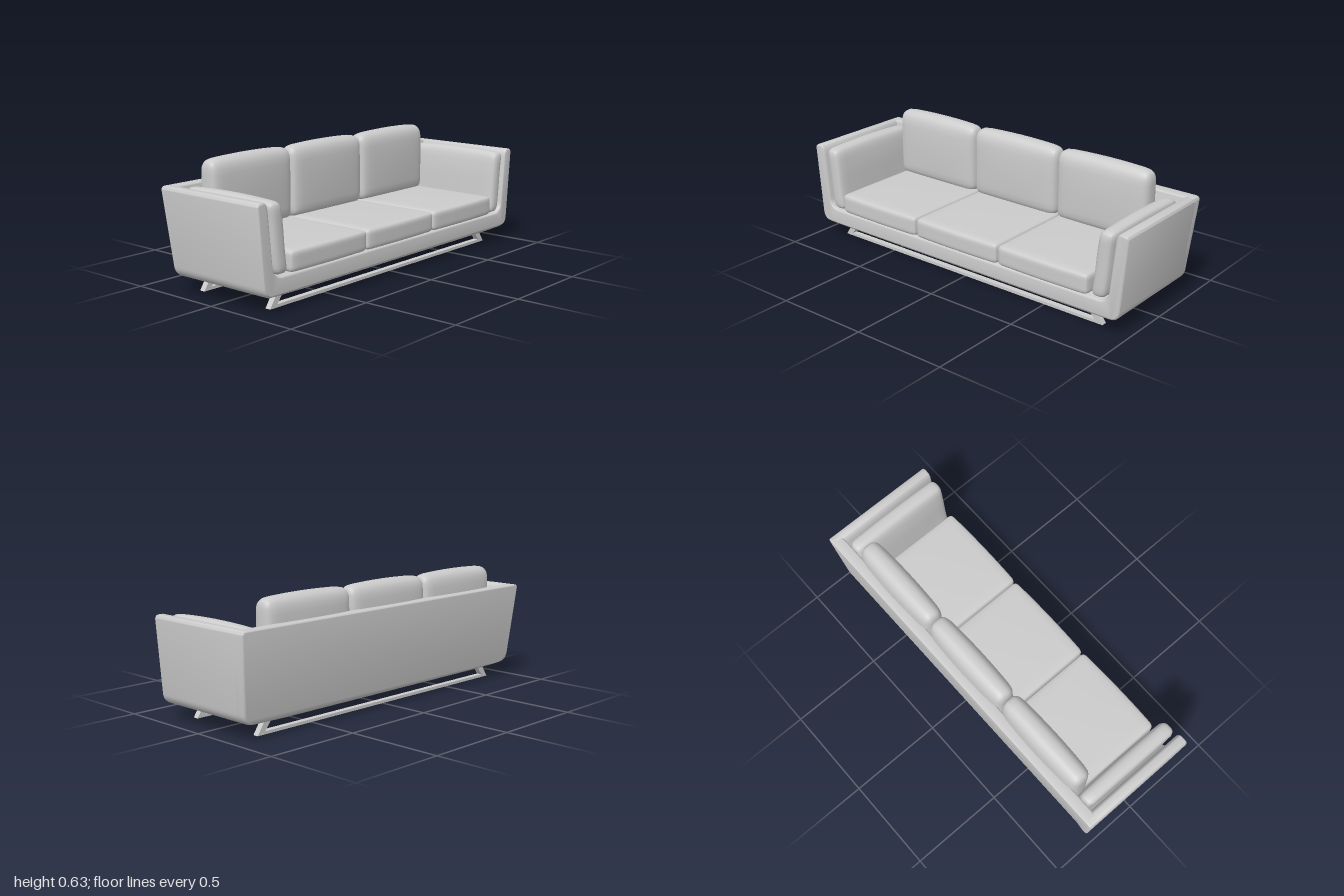
import * as THREE from 'three';
import { mergeVertices, toCreasedNormals } from 'three/addons/utils/BufferGeometryUtils.js';

const material = new THREE.MeshStandardMaterial({ color: 0xcccccc });

// Move every vertex of a geometry by a rule.
function deform(geometry, rule) {
  const pos = geometry.attributes.position;
  const v = new THREE.Vector3();
  for (let i = 0; i < pos.count; i++) {
    rule(v.fromBufferAttribute(pos, i));
    pos.setXYZ(i, v.x, v.y, v.z);
  }
  return geometry;
}

// Soft box with half sizes hx, hy, hz and edge radius r; rule adds the bulge.
function cushionGeometry(hx, hy, hz, r, rule) {
  let g = new THREE.BoxGeometry(2, 2, 2, 14, 14, 14);
  g.deleteAttribute('normal');
  g.deleteAttribute('uv');
  g = mergeVertices(g);
  const half = new THREE.Vector3(hx, hy, hz);
  const inner = half.clone().subScalar(r);
  const core = new THREE.Vector3();
  deform(g, (p) => {
    for (const k of ['x', 'y', 'z']) p[k] = Math.sin(p[k] * Math.PI / 2) * half[k];
    core.copy(p).clamp(inner.clone().negate(), inner);
    p.sub(core);
    if (p.lengthSq() > 0) p.setLength(r);
    p.add(core);
    rule(p);
  });
  g.computeVertexNormals();
  return g;
}

// Extrude a z-y profile along x, between x0 and x1.
function extrudeX(shape, x0, x1, bevel) {
  const g = new THREE.ExtrudeGeometry(shape, {
    depth: x1 - x0 - 2 * bevel, bevelEnabled: bevel > 0, bevelThickness: bevel,
    bevelSize: bevel, bevelOffset: -bevel, bevelSegments: 3, curveSegments: 8,
  });
  g.rotateY(Math.PI / 2);
  g.translate(x0 + bevel, 0, 0);
  return g;
}

// Lean the back outward and tuck the lower edges in.
function shellForm(geometry) {
  deform(geometry, (p) => {
    if (p.x < 0) p.x -= 0.04 * Math.max(0, p.y - 0.1) / 0.415;
    if (p.y < 0.1) p.x *= 1 - 0.1 * ((0.1 - p.y) / 0.035) ** 2;
  });
  return toCreasedNormals(geometry, 0.6);
}

// Outer silhouette of the shell, from the right top edge round to the left.
function outerOutline() {
  const s = new THREE.Shape();
  s.moveTo(-0.955, 0.515);
  s.lineTo(-0.975, 0.515);
  s.quadraticCurveTo(-1, 0.515, -0.998, 0.49);
  s.lineTo(-0.968, 0.13);
  s.quadraticCurveTo(-0.962, 0.075, -0.89, 0.072);
  s.lineTo(-0.7, 0.065);
  s.lineTo(0.7, 0.065);
  s.lineTo(0.89, 0.072);
  s.quadraticCurveTo(0.962, 0.075, 0.968, 0.13);
  s.lineTo(0.998, 0.49);
  s.quadraticCurveTo(1, 0.515, 0.975, 0.515);
  s.lineTo(0.955, 0.515);
  return s;
}

export function createModel() {
  const group = new THREE.Group();
  const add = (name, geometry, x = 0, y = 0, z = 0) => {
    const mesh = new THREE.Mesh(geometry, material);
    mesh.name = name;
    mesh.position.set(x, y, z);
    group.add(mesh);
    return mesh;
  };

  // Base and arms: one U-shaped profile
  const u = outerOutline();
  u.quadraticCurveTo(0.938, 0.512, 0.932, 0.47);
  u.lineTo(0.908, 0.22);
  u.quadraticCurveTo(0.903, 0.168, 0.85, 0.165);
  u.lineTo(-0.85, 0.165);
  u.quadraticCurveTo(-0.903, 0.168, -0.908, 0.22);
  u.lineTo(-0.932, 0.47);
  u.quadraticCurveTo(-0.938, 0.512, -0.955, 0.515);
  add('baseAndArms', shellForm(extrudeX(u, -0.275, 0.31, 0.01)));

  // Back panel: the same silhouette, filled
  add('backPanel', shellForm(extrudeX(outerOutline(), -0.287, -0.225, 0.008)));

  // Three seat cushions and three back cushions
  const seat = cushionGeometry(0.27, 0.053, 0.265, 0.024, (p) => {
    const a = p.x / 0.27, b = p.z / 0.265;
    if (p.y > 0) p.y += 0.005 * (1 - a * a) * (1 - b * b);
    if (p.x > 0) p.x += 0.006 * (1 - b * b);
  });
  const back = cushionGeometry(0.058, 0.182, 0.269, 0.045, (p) => {
    const a = p.x / 0.058, b = p.y / 0.182, c = p.z / 0.269;
    p.x *= 1 + 0.22 * (1 - c * c) * (1 - 0.6 * b * b);
    if (b > 0) {
      p.x *= 1 - 0.12 * b ** 3;
      p.y += 0.01 * (1 - a * a) + 0.009 * (1 - c * c) - 0.007;
    }
  });
  for (let i = -1; i <= 1; i++) {
    add('seatCushion', seat, 0.048, 0.22, i * 0.533 + 0.002);
    add('backCushion', back, -0.215, 0.441, i * 0.541 + 0.009);
  }

  // Upright cushions inside the arms, leaning outward at the top
  for (const side of [-1, 1]) {
    const arm = cushionGeometry(0.285, 0.168, 0.041, 0.034, (p) => {
      const a = p.x / 0.285, b = p.y / 0.168;
      p.z *= 1 + 0.2 * (1 - a * a) * (1 - b * b);
      if (b > 0) p.y += 0.01 * (1 - a * a);
      p.z += side * (0.012 * b + 0.008 * b * Math.abs(b));
    });
    add('armCushion', arm, 0.026, 0.337, side * 0.862);
  }

  // Sled legs: flat runner with a slanted strut at each end
  const sled = new THREE.Shape([
    [-0.85, 0], [0.85, 0], [0.8, 0.075], [0.757, 0.075], [0.803, 0.015],
    [-0.803, 0.015], [-0.757, 0.075], [-0.8, 0.075],
  ].map(([z, y]) => new THREE.Vector2(z, y)));
  for (const x of [-0.228, 0.21]) add('sledLeg', extrudeX(sled, x, x + 0.03, 0), 0, 0, 0.012);

  return group;
}
